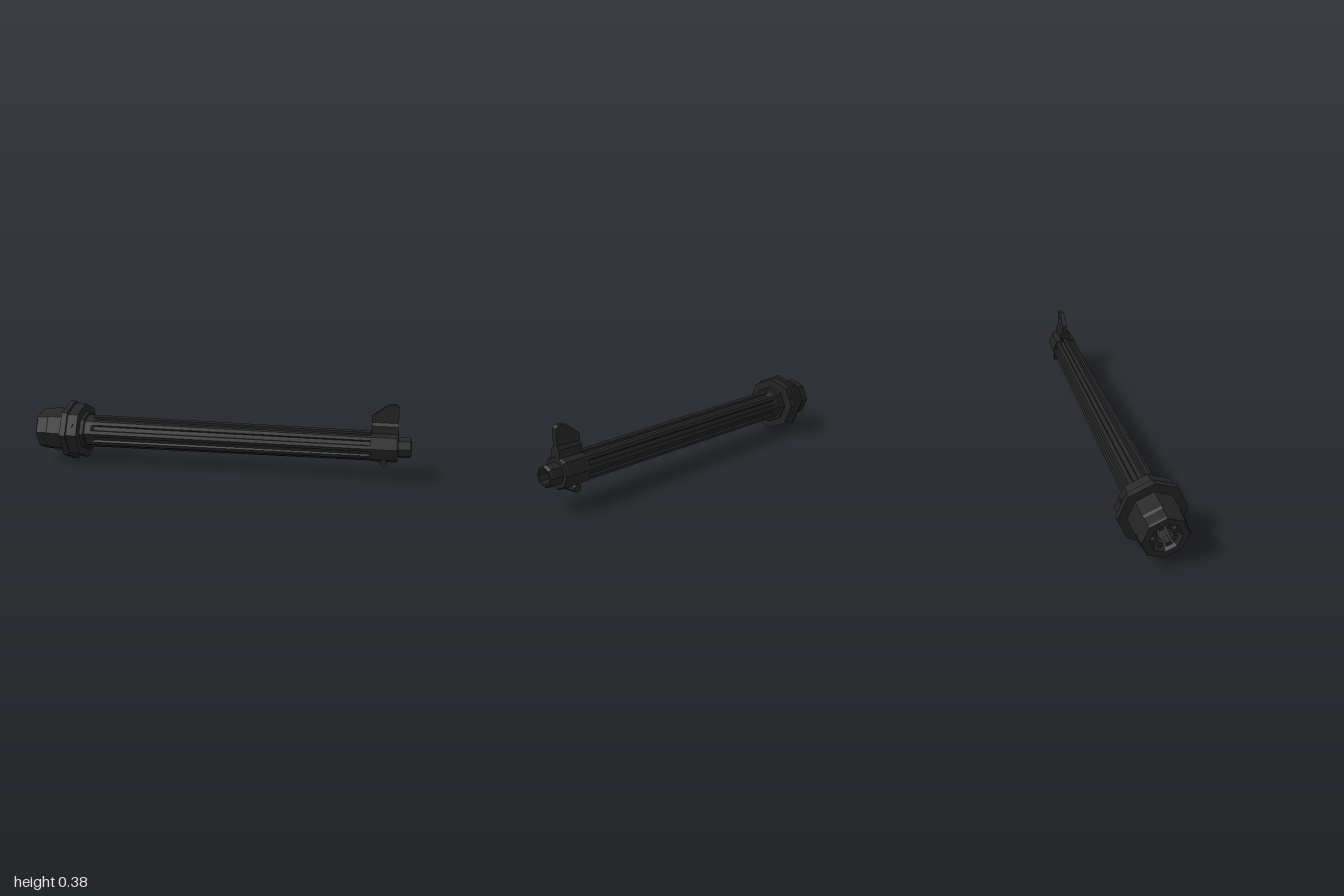
import * as THREE from 'three';

const AXIS_Y = 0.165;

// Faceted look: split the vertices so every face has its own normal
function facet(geo) {
  const g = geo.index ? geo.toNonIndexed() : geo;
  g.computeVertexNormals();
  return g;
}

// Eight-sided turned part along x, profile given as [x, radius]
function turned(profile) {
  const pts = profile.map(([x, r]) => new THREE.Vector2(r, x));
  return facet(new THREE.LatheGeometry(pts, 8).rotateZ(-Math.PI / 2));
}

// Octagonal tube with a flat-bottomed groove along each face
function flutedTube(stations) {
  const pos = [], index = [];
  const steps = [[0, 0], [0.27, 0], [0.34, 1], [0.66, 1], [0.73, 0]];
  const n = steps.length * 8;
  for (const [x, r, depth] of stations) {
    for (let k = 0; k < 8; k++) {
      const a = k * Math.PI / 4, b = a + Math.PI / 4, mid = a + Math.PI / 8;
      for (const [t, cut] of steps) {
        const y = r * ((1 - t) * Math.cos(a) + t * Math.cos(b)) - cut * depth * Math.cos(mid);
        const z = r * ((1 - t) * Math.sin(a) + t * Math.sin(b)) - cut * depth * Math.sin(mid);
        pos.push(x, y, z);
      }
    }
  }
  for (let s = 0; s < stations.length - 1; s++) {
    for (let i = 0; i < n; i++) {
      const a = s * n + i, b = s * n + (i + 1) % n;
      index.push(a, b, a + n, b, b + n, a + n);
    }
  }
  const g = new THREE.BufferGeometry();
  g.setAttribute('position', new THREE.Float32BufferAttribute(pos, 3));
  g.setIndex(index);
  return facet(g);
}

// Flat outline extruded evenly about the z = 0 plane
function plate(points, thickness) {
  const shape = new THREE.Shape(points.map(([x, y]) => new THREE.Vector2(x, y)));
  return new THREE.ExtrudeGeometry(shape, { depth: thickness, bevelEnabled: false })
    .translate(0, 0, -thickness / 2);
}

export function createModel() {
  const model = new THREE.Group();
  const steel = new THREE.MeshStandardMaterial({ color: 0x232323 });
  steel.name = 'dark steel';

  const add = (name, geo, x = 0, y = 0, z = 0) => {
    const mesh = new THREE.Mesh(geo, steel);
    mesh.name = name;
    mesh.position.set(x, y, z);
    model.add(mesh);
    return mesh;
  };

  // Rear extension with an open socket
  add('rearExtension', turned([
    [-0.86, 0], [-0.86, 0.065], [-0.985, 0.065], [-1, 0.075], [-1, 0.108],
    [-0.992, 0.114], [-0.94, 0.114], [-0.93, 0.121], [-0.835, 0.121],
  ]), 0, AXIS_Y);

  // Locking lugs inside the socket
  for (let k = 0; k < 8; k++) {
    const a = (k + 0.5) * Math.PI / 4;
    const lug = add('lockingLug', new THREE.BoxGeometry(0.04, 0.025, 0.022),
      -0.965, AXIS_Y + 0.053 * Math.cos(a), 0.053 * Math.sin(a));
    lug.rotation.x = a;
  }

  // Stepped nut and collar
  add('barrelNut', turned([
    [-0.835, 0.115], [-0.835, 0.164], [-0.803, 0.164], [-0.803, 0.151],
    [-0.745, 0.151], [-0.745, 0.108], [-0.725, 0.104], [-0.725, 0.08],
  ]), 0, AXIS_Y);

  // Small pins on the nut's upper side faces
  for (const side of [1, -1]) {
    const a = side * 3 * Math.PI / 8;
    const pin = add('nutPin', new THREE.CylinderGeometry(0.01, 0.01, 0.008, 8),
      -0.775, AXIS_Y + 0.141 * Math.cos(a), 0.141 * Math.sin(a));
    pin.rotation.x = a;
  }

  // Long tapering barrel
  add('flutedBarrel', flutedTube([
    [-0.73, 0.09, 0], [-0.69, 0.09, 0], [-0.67, 0.09, 0.012], [0.81, 0.077, 0.01],
  ]), 0, AXIS_Y);

  // Band carrying the front sight
  add('sightBand', turned([
    [0.80, 0.055], [0.80, 0.08], [0.925, 0.08], [0.935, 0.074], [0.935, 0.045],
  ]), 0, AXIS_Y);

  // Muzzle with a short bore
  add('muzzle', turned([
    [0.93, 0.053], [0.99, 0.053], [1, 0.046], [1, 0.037], [0.95, 0.033], [0.95, 0],
  ]), 0, AXIS_Y);

  // Front sight: chamfered foot and a thin blade
  const foot = new THREE.Shape([
    [-0.026, 0.2], [0.026, 0.2], [0.026, 0.272], [0.013, 0.288], [-0.013, 0.288], [-0.026, 0.272],
  ].map(([x, y]) => new THREE.Vector2(x, y)));
  add('sightFoot', new THREE.ExtrudeGeometry(foot, { depth: 0.13, bevelEnabled: false })
    .rotateY(Math.PI / 2), 0.802);
  add('sightBlade', plate([
    [0.802, 0.2], [0.932, 0.2], [0.932, 0.365], [0.918, 0.379], [0.882, 0.379], [0.802, 0.322],
  ], 0.026));

  // Cross lug under the band
  add('crossLug', facet(new THREE.CylinderGeometry(0.02, 0.02, 0.124, 8)
    .rotateY(Math.PI / 8).rotateX(Math.PI / 2)), 0.868, 0.091);

  return model;
}
